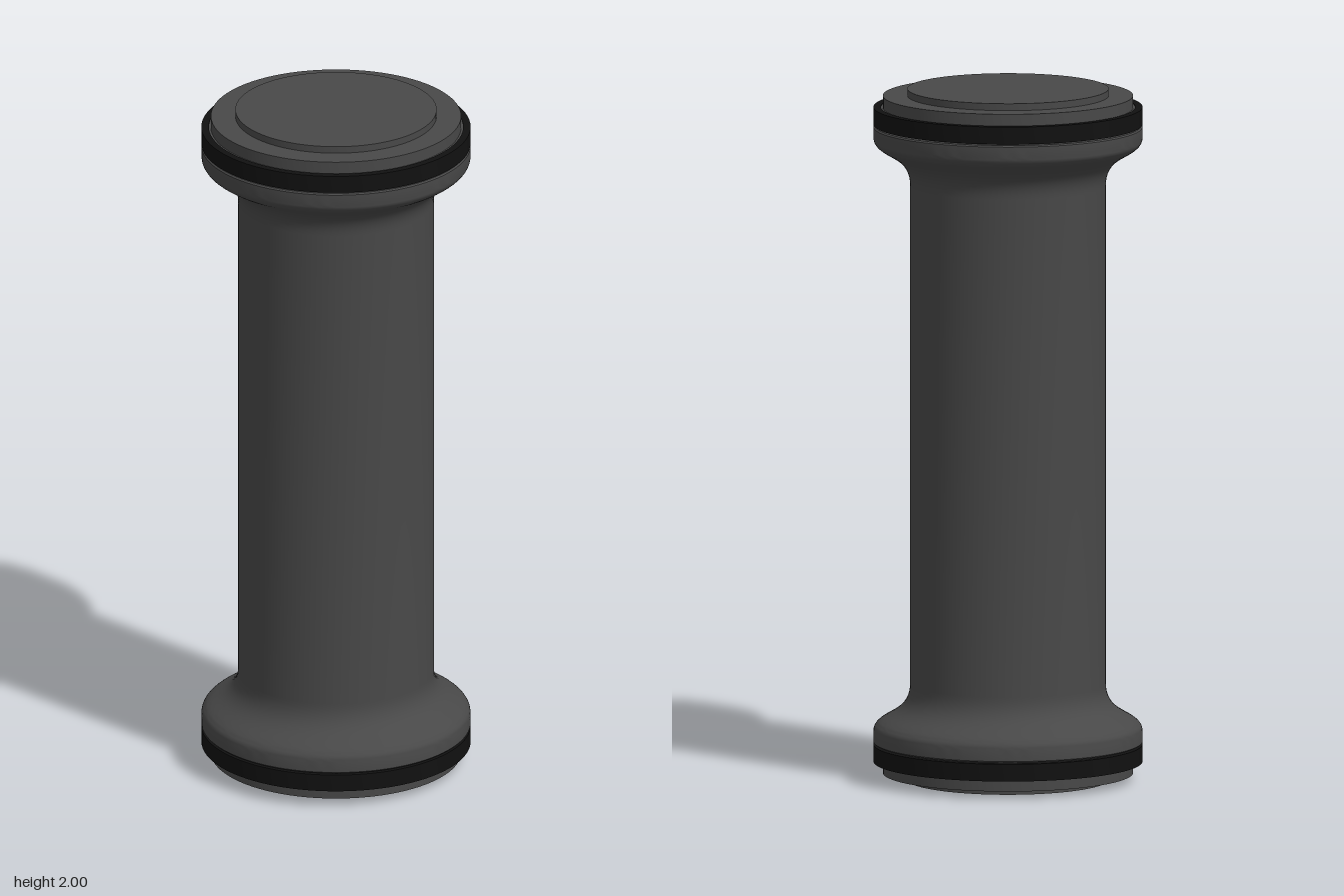
import * as THREE from 'three';
import { toCreasedNormals } from 'three/addons/utils/BufferGeometryUtils.js';

const SIDES = 96;
const bodyMaterial = new THREE.MeshStandardMaterial({ color: 0x484848 });
const ringMaterial = new THREE.MeshStandardMaterial({ color: 0x111111 });

// Revolve a profile of [radius, height] points, keeping hard edges sharp
function turned(name, points, material) {
  const profile = points.map(([r, y]) => new THREE.Vector2(r, y));
  const geometry = toCreasedNormals(new THREE.LatheGeometry(profile, SIDES), 0.6);
  const mesh = new THREE.Mesh(geometry, material);
  mesh.name = name;
  return mesh;
}

// Flip a profile end for end about mid height
const mirrored = (points) => points.map(([r, y]) => [r, 2 - y]).reverse();

export function createModel() {
  const model = new THREE.Group();
  model.name = 'spool';

  // Flared shoulder between the flange rim and the shaft
  const flare = new THREE.CubicBezierCurve(
    new THREE.Vector2(0.385, 0.142), new THREE.Vector2(0.385, 0.192),
    new THREE.Vector2(0.28, 0.182), new THREE.Vector2(0.28, 0.28)
  ).getPoints(20).map((p) => [p.x, p.y]);

  // One end: raised disc, cap, ring seat, flange, flare
  const end = [
    [0, 0], [0.288, 0], [0.288, 0.02],
    [0.358, 0.02], [0.358, 0.055],
    [0.365, 0.055], [0.365, 0.107],
    [0.381, 0.107], [0.385, 0.111],
    ...flare,
  ];
  model.add(turned('body', [...end, ...mirrored(end)], bodyMaterial));

  // Dark band around each flange
  const band = [
    [0.364, 0.053], [0.385, 0.053], [0.385, 0.103], [0.364, 0.103], [0.364, 0.053],
  ];
  model.add(turned('lowerRing', band, ringMaterial));
  model.add(turned('upperRing', mirrored(band), ringMaterial));

  return model;
}
